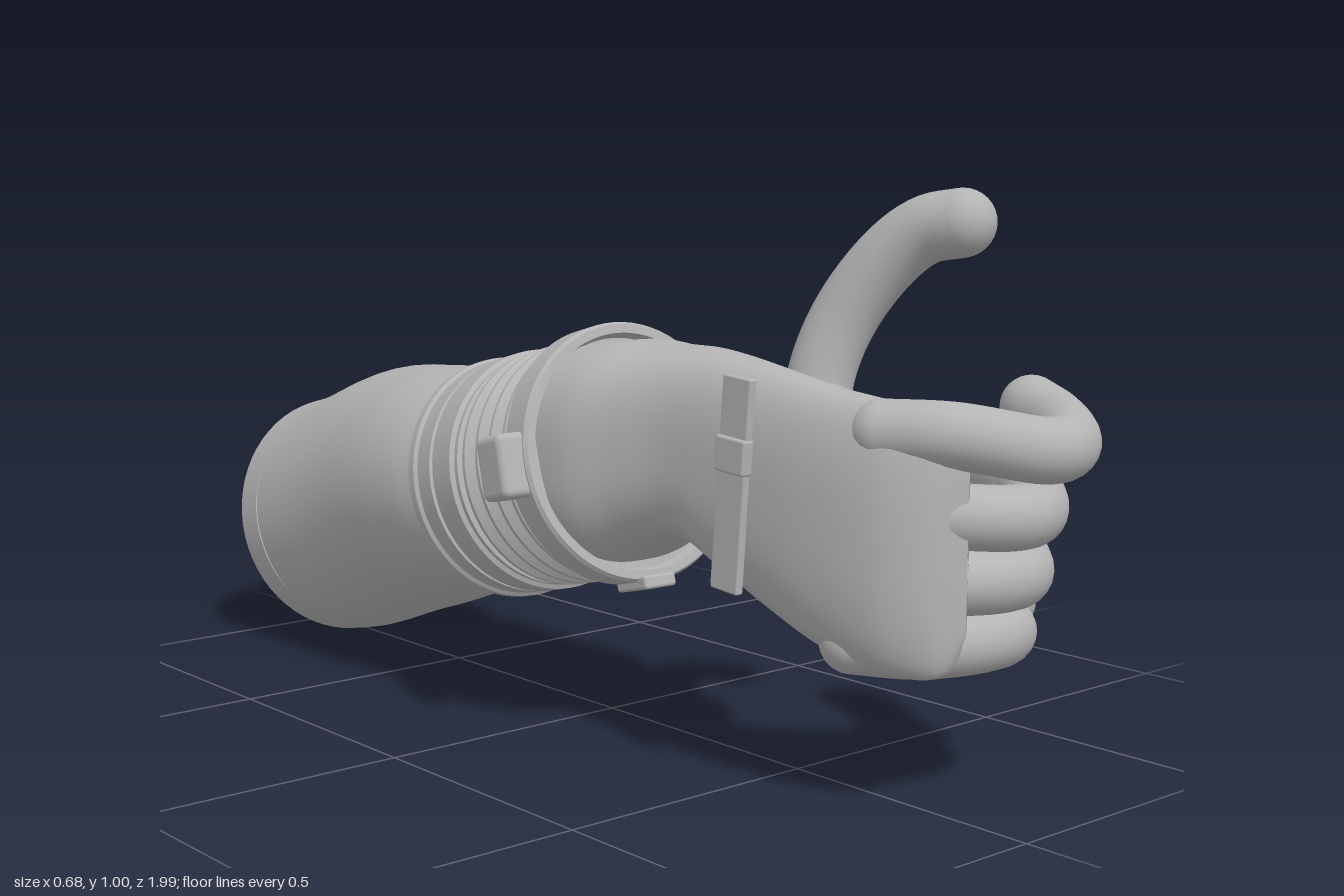
import * as THREE from 'three';
import { toCreasedNormals } from 'three/addons/utils/BufferGeometryUtils.js';
import { RoundedBoxGeometry } from 'three/addons/geometries/RoundedBoxGeometry.js';

const grey = new THREE.MeshStandardMaterial({ color: 0xb4b4b4, side: THREE.DoubleSide });
grey.name = 'grey';

function add(parent, name, geometry, x = 0, y = 0, z = 0) {
  const mesh = new THREE.Mesh(geometry, grey);
  mesh.name = name;
  mesh.position.set(x, y, z);
  parent.add(mesh);
  return mesh;
}

// Skin over cross-sections [z, centreX, centreY, halfWidth, halfHeight];
// the power squares off the ellipse, wobble(angle, z) scales it.
function loft(sections, power = 2, wobble = () => 1, n = 64, steps = 48) {
  const curve = new THREE.CatmullRomCurve3(sections.map(s => new THREE.Vector3(s[1], s[2], s[0])), false, 'centripetal');
  const sizes = new THREE.CatmullRomCurve3(sections.map(s => new THREE.Vector3(s[3], s[4], 0)), false, 'catmullrom', 0.5);
  const pos = [], index = [];
  for (let i = 0; i <= steps; i++) {
    const c = curve.getPoint(i / steps), s = sizes.getPoint(i / steps);
    for (let j = 0; j < n; j++) {
      const a = j / n * Math.PI * 2, k = wobble(a, c.z);
      const round = v => Math.sign(v) * Math.abs(v) ** (2 / power);
      pos.push(c.x + s.x * k * round(Math.cos(a)), c.y + s.y * k * round(Math.sin(a)), c.z);
      if (i < steps) {
        const p = i * n + j, q = i * n + (j + 1) % n;
        index.push(p, q, p + n, q, q + n, p + n);
      }
    }
  }
  const g = new THREE.BufferGeometry();
  g.setAttribute('position', new THREE.Float32BufferAttribute(pos, 3));
  g.setIndex(index);
  g.computeVertexNormals();
  return g;
}

// Round-ended tube through points
function digit(parent, name, points, radius) {
  const group = new THREE.Group();
  group.name = name;
  parent.add(group);
  const pts = points.map(p => new THREE.Vector3(...p));
  add(group, name + 'Shaft', new THREE.TubeGeometry(new THREE.CatmullRomCurve3(pts), 40, radius, 24));
  for (const p of [pts[0], pts[pts.length - 1]])
    add(group, name + 'End', new THREE.SphereGeometry(radius, 24, 16), p.x, p.y, p.z);
}

export function createModel() {
  const model = new THREE.Group();
  model.name = 'glovedArm';

  // Forearm frame: local z runs from the open end to the wrist
  const arm = new THREE.Group();
  arm.name = 'forearm';
  arm.position.set(0, 0.26, -0.925);
  arm.lookAt(-0.065, 0.53, 0.14);
  model.add(arm);

  // Sleeve with soft folds that fade toward both ends
  const folds = (a, z) => 1 + 0.014 * Math.sin(Math.PI * Math.min(1, z / 0.7)) * Math.sin(3 * a + 11 * z);
  add(arm, 'sleeve', loft([
    [0, 0, 0, 0.255, 0.258], [0.13, 0, 0, 0.252, 0.258], [0.34, 0.005, 0.016, 0.253, 0.257],
    [0.54, -0.015, 0.014, 0.236, 0.236], [0.64, -0.012, 0.008, 0.23, 0.223], [0.72, 0, 0, 0.222, 0.218],
  ], 2, folds));
  const cap = add(arm, 'sleeveCap', new THREE.CircleGeometry(0.255, 64), 0, 0, 0.07);
  cap.rotation.y = Math.PI;

  // Cuff bands, bellows and wrist collar in one turned profile
  const profile = [[0.2, 0.685], [0.23, 0.685], [0.235, 0.692], [0.235, 0.71], [0.229, 0.716],
    [0.229, 0.76], [0.221, 0.763], [0.221, 0.77], [0.23, 0.773], [0.23, 0.835], [0.222, 0.84], [0.222, 0.85]];
  for (let i = 0; i < 4; i++) {
    const z = 0.855 + i * 0.045;
    profile.push([0.208, z], [0.225, z + 0.018], [0.225, z + 0.026]);
  }
  profile.push([0.21, 1.035], [0.232, 1.035], [0.237, 1.042], [0.237, 1.098], [0.232, 1.105],
    [0.216, 1.105], [0.21, 1.085], [0.1, 1.085]);
  const cuff = new THREE.LatheGeometry(profile.map(p => new THREE.Vector2(...p)), 72);
  cuff.rotateX(Math.PI / 2);
  add(arm, 'cuffAndCollar', toCreasedNormals(cuff, 0.45));
  add(arm, 'collarButton', new RoundedBoxGeometry(0.075, 0.115, 0.08, 3, 0.014), -0.245, 0, 1.055);
  add(arm, 'collarTab', new RoundedBoxGeometry(0.07, 0.025, 0.09, 2, 0.006), 0, -0.237, 1.078);

  // Wrist and palm, closing round the knuckles
  add(model, 'palm', loft([
    [0.08, -0.07, 0.525, 0.195, 0.2], [0.17, -0.068, 0.535, 0.185, 0.2], [0.25, -0.07, 0.555, 0.15, 0.178],
    [0.34, -0.075, 0.567, 0.115, 0.168], [0.44, -0.085, 0.545, 0.095, 0.184], [0.55, -0.092, 0.515, 0.082, 0.2],
    [0.66, -0.09, 0.485, 0.076, 0.212], [0.75, -0.08, 0.468, 0.07, 0.218], [0.81, -0.064, 0.46, 0.063, 0.215],
    [0.86, -0.038, 0.455, 0.045, 0.2], [0.885, -0.02, 0.45, 0.001, 0.13],
  ], 2.6));

  // Strap with clasp on the back of the hand
  const strap = new THREE.Group();
  strap.name = 'strap';
  strap.position.set(-0.178, 0.53, 0.52);
  strap.rotation.x = 0.08;
  model.add(strap);
  add(strap, 'strapBar', new RoundedBoxGeometry(0.016, 0.36, 0.065, 2, 0.004));
  add(strap, 'strapClasp', new RoundedBoxGeometry(0.024, 0.06, 0.07, 2, 0.005), -0.003, 0.05, 0);

  // Curled fingers: [name, knuckleY, frontY, tipY, depth shift, tipX, tipZ]
  const fingers = [
    ['indexFinger', 0.635, 0.61, 0.645, 0, 0.28, 0.76],
    ['middleFinger', 0.505, 0.495, 0.54, -0.06, 0.28, 0.668],
    ['ringFinger', 0.395, 0.39, 0.425, -0.085, 0.275, 0.665],
    ['littleFinger', 0.288, 0.287, 0.312, -0.115, 0.255, 0.735],
  ];
  for (const [name, y0, y1, y2, dz, tx, tz] of fingers) {
    digit(model, name, [
      [-0.085, y0, 0.76 + dz * 0.5], [-0.03, y0, 0.86 + dz * 0.6], [0.09, y1, 0.943 + dz], [0.165, y1, 0.925 + dz],
      [tx - 0.025, (y1 + y2) / 2, 0.83 + dz], [tx, y2, tz],
    ], 0.053);
  }

  // Raised thumb with its rounded base
  digit(model, 'thumb', [
    [0.01, 0.6, 0.52], [0.03, 0.7, 0.515], [0.062, 0.8, 0.54], [0.1, 0.895, 0.6], [0.125, 0.94, 0.655], [0.145, 0.953, 0.715],
  ], 0.057);
  const base = add(model, 'thumbBase', new THREE.SphereGeometry(1, 32, 24), 0, 0.6, 0.535);
  base.scale.set(0.065, 0.09, 0.12);

  return model;
}
